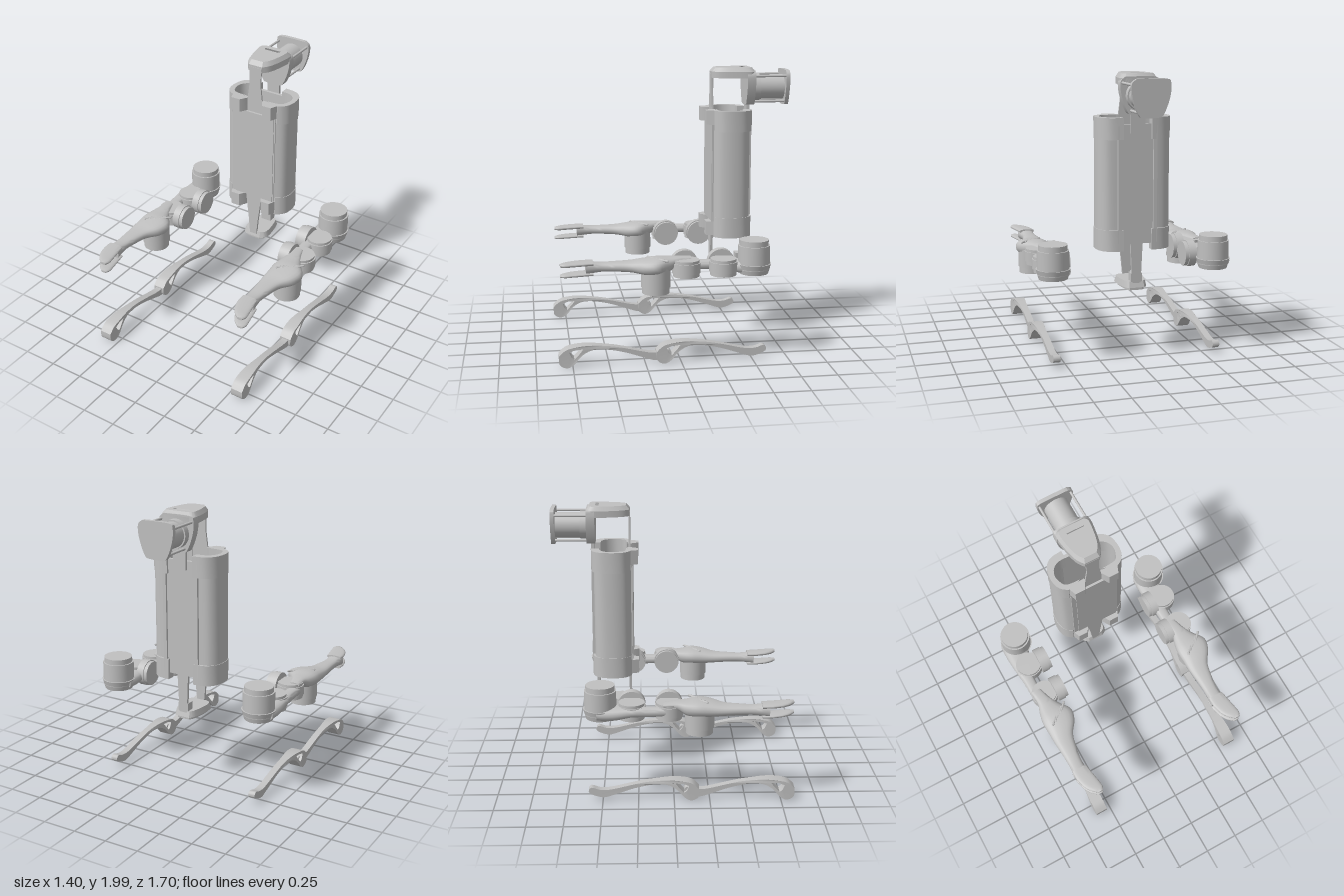
import * as THREE from 'three';
import { toCreasedNormals } from 'three/addons/utils/BufferGeometryUtils.js';

const grey = new THREE.MeshStandardMaterial({ color: 0xc0c0c0 });
grey.name = 'light grey';

const V = ([x, y]) => new THREE.Vector2(x, y);
const mirrorX = pts => [...pts, ...pts.slice().reverse().map(([x, y]) => [-x, y])];
const smooth = (pts, n = 24) => new THREE.SplineCurve(pts.map(V)).getPoints(n).map(p => [p.x, p.y]);
const smoothLoop = (pts, n = 48) => smooth([...pts, pts[0]], n).slice(0, -1);

function add(parent, name, geo, x = 0, y = 0, z = 0) {
  const m = new THREE.Mesh(geo, grey);
  m.name = name;
  m.position.set(x, y, z);
  parent.add(m);
  return m;
}

function extrude(pts, depth, holes = []) {
  const shape = new THREE.Shape(pts.map(V));
  shape.holes = holes.map(h => new THREE.Path(h.map(V)));
  return new THREE.ExtrudeGeometry(shape, { depth, bevelEnabled: false });
}

// outline in (x, z), raised from y0 to y1; taper shrinks the upper face towards zMid
function prism(pts, y0, y1, holes = [], taper = 1, zMid = 0) {
  const g = extrude(pts, y1 - y0, holes).rotateX(Math.PI / 2).translate(0, y1, 0);
  const p = g.attributes.position;
  for (let i = 0; i < p.count; i++) {
    if (p.getY(i) < y1 - 1e-4) continue;
    p.setX(i, p.getX(i) * taper);
    p.setZ(i, zMid + (p.getZ(i) - zMid) * taper);
  }
  g.computeVertexNormals();
  return toCreasedNormals(g, 0.6);
}

// outline in (x, y), from z0 to z1
const slab = (pts, z0, z1) => toCreasedNormals(extrude(pts, z1 - z0).translate(0, 0, z0), 0.6);

// rounded body through sections [z, xMin, xMax, yMin, yMax]
function loft(sections, power = 0.75, seg = 20) {
  const steps = (sections.length - 1) * 4;
  const curves = [1, 2, 3, 4].map(k => new THREE.SplineCurve(sections.map(s => new THREE.Vector2(s[0], s[k]))));
  const pos = [], idx = [];
  const bend = v => Math.sign(v) * Math.abs(v) ** power;
  for (let i = 0; i <= steps; i++) {
    const q = curves.map(c => c.getPoint(i / steps));
    const [x0, x1, y0, y1] = q.map(p => p.y);
    for (let j = 0; j < seg; j++) {
      const a = j / seg * Math.PI * 2;
      pos.push((x0 + x1) / 2 + (x1 - x0) / 2 * bend(Math.cos(a)), (y0 + y1) / 2 + (y1 - y0) / 2 * bend(Math.sin(a)), q[0].x);
    }
  }
  for (let i = 0; i < steps; i++) for (let j = 0; j < seg; j++) {
    const k = (j + 1) % seg, a = i * seg + j, b = i * seg + k;
    idx.push(a, b, b + seg, a, b + seg, a + seg);
  }
  const last = steps * seg;
  for (let j = 1; j < seg - 1; j++) idx.push(0, j + 1, j, last, last + j, last + j + 1);
  const g = new THREE.BufferGeometry();
  g.setAttribute('position', new THREE.Float32BufferAttribute(pos, 3));
  g.setIndex(idx);
  return toCreasedNormals(g, 0.9);
}

const cyl = (r, h, r2 = r) => new THREE.CylinderGeometry(r, r2, h, 40);

function buildTorso() {
  const g = new THREE.Group();
  g.name = 'torso';
  // curved side shells, thin in the middle and thicker at the end caps
  const outer = smooth([[0.12, -0.557], [0.2, -0.545], [0.245, -0.5], [0.258, -0.43], [0.25, -0.365], [0.225, -0.32], [0.17, -0.29]]);
  const inner = smooth([[0.14, -0.315], [0.195, -0.34], [0.222, -0.38], [0.23, -0.43], [0.217, -0.48], [0.17, -0.52], [0.12, -0.53]]);
  const capOuter = smooth([[0.1, -0.575], [0.19, -0.562], [0.245, -0.51], [0.262, -0.43], [0.253, -0.36], [0.225, -0.318], [0.19, -0.295]]);
  const capInner = smooth([[0.08, -0.325], [0.185, -0.335], [0.217, -0.38], [0.225, -0.43], [0.205, -0.48], [0.16, -0.51], [0.1, -0.515]]);
  const tab = [[0.165, -0.243], [0.095, -0.243], [0.06, -0.3]];
  for (const s of [1, -1]) {
    const flip = pts => pts.map(([x, z]) => [s * x, z]);
    add(g, 'sideShell', prism(flip([...outer, ...inner]), 0.93, 1.56));
    for (const [y0, y1, t0, t1] of [[0.79, 0.937, 0.8, 0.9], [1.553, 1.7, 1.6, 1.7]]) {
      add(g, 'endCap', prism(flip([...capOuter, ...capInner]), y0, y1));
      add(g, 'clampTab', prism(flip([[0.19, -0.31], ...tab, [0.06, -0.32]]), t0, t1));
    }
    add(g, 'backRail', new THREE.BoxGeometry(0.025, 0.8, 0.025), s * 0.125, 1.245, -0.56);
  }
  add(g, 'frontPlate', new THREE.BoxGeometry(0.36, 0.7, 0.025), 0, 1.25, -0.3);
  add(g, 'frontPanel', new THREE.BoxGeometry(0.315, 0.7, 0.008), 0.012, 1.25, -0.285);
  add(g, 'backPlate', new THREE.BoxGeometry(0.25, 0.82, 0.025), 0, 1.245, -0.545);
  return g;
}

function buildHead() {
  const g = new THREE.Group();
  g.name = 'head';
  const canopy = mirrorX(smooth([[0.1, -0.605], [0.13, -0.57], [0.115, -0.44], [0.09, -0.35], [0.055, -0.3]]));
  const slot = [[0.08, -0.557], [0.065, -0.527], [-0.065, -0.527], [-0.08, -0.557]];
  add(g, 'canopy', prism(canopy, 1.92, 1.965));
  add(g, 'canopyTop', prism(canopy, 1.965, 1.995, [slot], 0.84, -0.46));
  // wide-topped, narrow-bottomed rear housing and end plate
  const face = smoothLoop([[0.1, 1.975], [0.133, 1.94], [0.125, 1.85], [0.085, 1.745], [0.05, 1.725],
    [-0.05, 1.725], [-0.085, 1.745], [-0.125, 1.85], [-0.133, 1.94], [-0.1, 1.975]]);
  add(g, 'rearHousing', slab(face, -0.605, -0.545));
  add(g, 'endPlate', slab(face, -0.853, -0.825));
  add(g, 'drum', cyl(0.088, 0.18).rotateX(Math.PI / 2), 0, 1.85, -0.74);
  add(g, 'drumCollar', cyl(0.098, 0.05).rotateX(Math.PI / 2), 0, 1.85, -0.625);
  for (const s of [1, -1]) for (const [x, y] of [[0.118, 1.935], [0.06, 1.75]])
    add(g, 'rod', cyl(0.009, 0.23).rotateX(Math.PI / 2), s * x, y, -0.715);
  add(g, 'frontStrap', slab(mirrorX([[0.072, 1.59], [0.06, 1.7], [0.045, 1.82], [0.05, 1.95]]), -0.31, -0.298));
  add(g, 'rearStrap', new THREE.BoxGeometry(0.1, 0.15, 0.02), 0, 1.67, -0.565);
  return g;
}

function buildPelvis() {
  const g = new THREE.Group();
  g.name = 'pelvis';
  const base = mirrorX(smooth([[0.055, -0.56], [0.08, -0.52], [0.1, -0.4], [0.095, -0.33], [0.06, -0.298]]));
  add(g, 'base', prism(base.map(([x, z]) => [x * 0.8, -0.42 + (z + 0.42) * 0.9]), 0.505, 0.525));
  add(g, 'baseTop', prism(base, 0.525, 0.568, [], 0.9, -0.42));
  add(g, 'frontStrap', slab(mirrorX([[0.028, 0.55], [0.04, 0.68], [0.055, 0.8], [0.068, 0.92]]), -0.315, -0.298));
  add(g, 'rearStrap', slab(mirrorX([[0.03, 0.55], [0.045, 0.88]]), -0.55, -0.53));
  add(g, 'rearBlock', new THREE.BoxGeometry(0.08, 0.06, 0.06), 0, 0.595, -0.52);
  return g;
}

// inward is the sign of x pointing to the model's middle
function buildArm(inward) {
  const g = new THREE.Group();
  g.name = 'arm';
  add(g, 'shoulderDrum', cyl(0.11, 0.165), 0, 0.735, -0.507);
  add(g, 'shoulderCap', cyl(0.1, 0.045), 0, 0.833, -0.507);
  add(g, 'shoulderBase', cyl(0.119, 0.07, 0.1), 0, 0.655, -0.507);
  add(g, 'elbowDrum', cyl(0.102, 0.15), 0, 0.625, 0.175);
  add(g, 'elbowCap', cyl(0.095, 0.045), 0, 0.528, 0.175);
  // two joints, each with an upright disc and a sideways disc
  for (const z of [-0.293, -0.035]) {
    add(g, 'uprightDisc', cyl(0.098, 0.07), 0, 0.675, z);
    add(g, 'uprightDiscCap', cyl(0.09, 0.115), 0, 0.672, z);
    add(g, 'jointHub', cyl(0.045, 0.12).rotateZ(Math.PI / 2), inward * 0.06, 0.68, z);
    add(g, 'sidewaysDisc', cyl(0.095, 0.055).rotateZ(Math.PI / 2), inward * 0.1, 0.68, z);
    add(g, 'sidewaysDiscCap', cyl(0.088, 0.03).rotateZ(Math.PI / 2), inward * 0.139, 0.68, z);
  }
  add(g, 'upperLink', loft([[-0.53, -0.118, 0.08, 0.62, 0.71], [-0.42, -0.12, 0.06, 0.62, 0.71],
    [-0.29, -0.11, 0, 0.645, 0.71], [-0.17, -0.098, -0.01, 0.645, 0.71], [-0.04, -0.095, -0.01, 0.65, 0.71]]));
  add(g, 'forearm', loft([[-0.075, -0.09, -0.015, 0.715, 0.738], [0.02, -0.085, 0.02, 0.69, 0.745],
    [0.085, -0.105, 0.06, 0.65, 0.747], [0.165, -0.12, 0.117, 0.64, 0.75], [0.25, -0.117, 0.1, 0.64, 0.74],
    [0.34, -0.113, 0.04, 0.65, 0.725], [0.45, -0.104, 0.013, 0.655, 0.72], [0.55, -0.1, 0, 0.655, 0.718],
    [0.65, -0.105, 0.012, 0.64, 0.73]]));
  // forked tip
  for (const [name, y0, y1] of [['upperProng', 0.703, 0.732], ['lowerProng', 0.633, 0.658]])
    add(g, name, loft([[0.6, -0.105, 0.008, y0, y1], [0.67, -0.102, 0.022, y0, y1], [0.74, -0.082, 0.035, y0, y1],
      [0.79, -0.05, 0.042, y0, y1], [0.825, -0.01, 0.03, y0 + 0.005, y1 - 0.003]]));
  // slanted ribs over the elbow
  for (let i = 0; i < 4; i++) {
    const rib = add(g, 'elbowRib', new THREE.CapsuleGeometry(0.008, 0.08, 4, 8).rotateX(Math.PI / 2),
      -0.035 + i * 0.032, 0.742, 0.195 - i * 0.02);
    rib.rotation.y = -0.75;
  }
  return g;
}

// one bowed link of the lower strip, drawn in (z, y)
function bowLink() {
  const outline = smoothLoop([[0.845, 0.09], [0.8, 0.13], [0.74, 0.147], [0.64, 0.155], [0.5, 0.143], [0.39, 0.122],
    [0.23, 0.085], [0.15, 0.083], [0.09, 0.1], [0.07, 0.07], [0.1, 0.045], [0.175, 0.025], [0.255, 0.047], [0.39, 0.092],
    [0.52, 0.119], [0.62, 0.12], [0.69, 0.085], [0.74, 0.03], [0.79, 0.004], [0.84, 0.03]], 80);
  const hole = [[0.775, 0.115], [0.73, 0.132], [0.68, 0.132], [0.7, 0.105], [0.74, 0.062], [0.76, 0.08]];
  const w = 0.09, g = extrude(outline, w, [hole]).translate(0, 0, -w / 2).rotateY(-Math.PI / 2);
  const p = g.attributes.position;
  // narrow the link away from its broad head
  for (let i = 0; i < p.count; i++)
    p.setX(i, p.getX(i) * (0.55 + 0.45 * THREE.MathUtils.smoothstep(p.getZ(i), 0.5, 0.76)));
  g.computeVertexNormals();
  return toCreasedNormals(g, 0.6);
}

export function createModel() {
  const model = new THREE.Group();
  model.name = 'exploded frame';
  model.add(buildTorso(), buildHead(), buildPelvis());
  for (const side of [1, -1]) {
    const arm = buildArm(-side);
    arm.position.x = side * 0.578;
    model.add(arm);
    const strip = new THREE.Group();
    strip.name = 'lowerStrip';
    strip.position.x = side * 0.578;
    add(strip, 'frontLink', bowLink());
    add(strip, 'rearLink', bowLink(), 0, 0, -0.67);
    model.add(strip);
  }
  return model;
}
